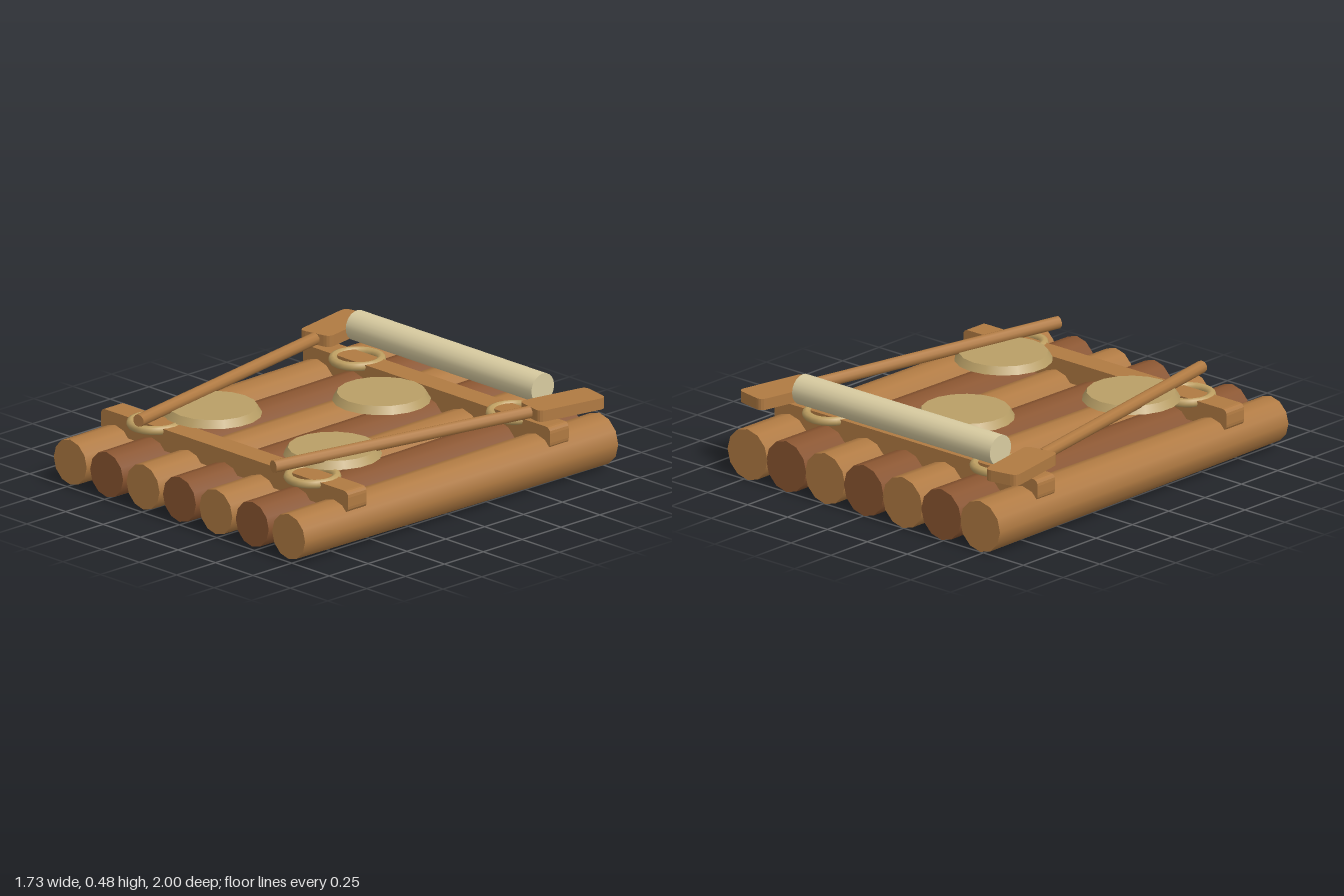
import * as THREE from 'three';

const mat = (color) => new THREE.MeshStandardMaterial({ color });

// Flat plate with a rounded outline in XY, centred on the origin
function slab(w, h, depth, r) {
  const s = new THREE.Shape();
  const x = w / 2, y = h / 2;
  s.moveTo(-x + r, -y);
  s.lineTo(x - r, -y);
  s.quadraticCurveTo(x, -y, x, -y + r);
  s.lineTo(x, y - r);
  s.quadraticCurveTo(x, y, x - r, y);
  s.lineTo(-x + r, y);
  s.quadraticCurveTo(-x, y, -x, y - r);
  s.lineTo(-x, -y + r);
  s.quadraticCurveTo(-x, -y, -x + r, -y);
  const g = new THREE.ExtrudeGeometry(s, { depth, bevelEnabled: false, curveSegments: 4 });
  return g.translate(0, 0, -depth / 2);
}

export function createModel() {
  const raft = new THREE.Group();
  raft.name = 'raft';
  const lightWood = mat(0xb07a42);
  const darkWood = mat(0x8a5530);
  const rope = mat(0xbfa062);
  const straw = mat(0xb99f66);
  const canvas = mat(0xd8cba0);

  const add = (parent, name, geometry, material, x = 0, y = 0, z = 0) => {
    const m = new THREE.Mesh(geometry, material);
    m.name = name;
    m.position.set(x, y, z);
    parent.add(m);
    return m;
  };

  // Deck logs, thicker at the back, alternating in colour
  const logGeo = new THREE.CylinderGeometry(0.11, 0.125, 2, 12).rotateX(Math.PI / 2);
  for (let i = -3; i <= 3; i++) {
    add(raft, 'log', logGeo, i % 2 ? lightWood : darkWood, i * 0.243, 0.13, 0)
      .material = (i + 3) % 2 ? darkWood : lightWood;
  }

  // Cross beams with a rope ring near each end
  const beamGeo = slab(1.65, 0.105, 0.12, 0.03);
  const ringGeo = new THREE.TorusGeometry(0.113, 0.022, 8, 20).rotateX(Math.PI / 2);
  for (const z of [-0.65, 0.65]) {
    add(raft, 'crossBeam', beamGeo, lightWood, 0, 0.25, z);
    for (const x of [-0.525, 0.525]) add(raft, 'ropeRing', ringGeo, rope, x, 0.29, z);
  }

  // Round seats
  const seatGeo = new THREE.CylinderGeometry(0.208, 0.23, 0.037, 18);
  for (const [x, z] of [[0, -0.3], [-0.4, 0.4], [0.4, 0.4]]) {
    add(raft, 'seat', seatGeo, straw, x, 0.327, z);
  }

  // Rolled sail lying across the back
  const rollGeo = new THREE.CylinderGeometry(0.073, 0.073, 1.24, 20).rotateZ(Math.PI / 2);
  add(raft, 'sailRoll', rollGeo, canvas, 0, 0.41, -0.74);

  // Paddles, blades at the back and handles converging forwards
  const shaftGeo = new THREE.CylinderGeometry(0.03, 0.03, 1.42, 10).rotateX(Math.PI / 2);
  const bladeGeo = slab(0.175, 0.37, 0.055, 0.035).rotateX(Math.PI / 2);
  for (const side of [-1, 1]) {
    const paddle = new THREE.Group();
    paddle.name = side > 0 ? 'leftPaddle' : 'rightPaddle';
    paddle.position.set(side * 0.752, 0.362, -0.741);
    paddle.rotation.y = -side * 0.19;
    add(paddle, 'shaft', shaftGeo, lightWood, 0, 0, 0.89);
    add(paddle, 'blade', bladeGeo, lightWood);
    raft.add(paddle);
  }
  return raft;
}
